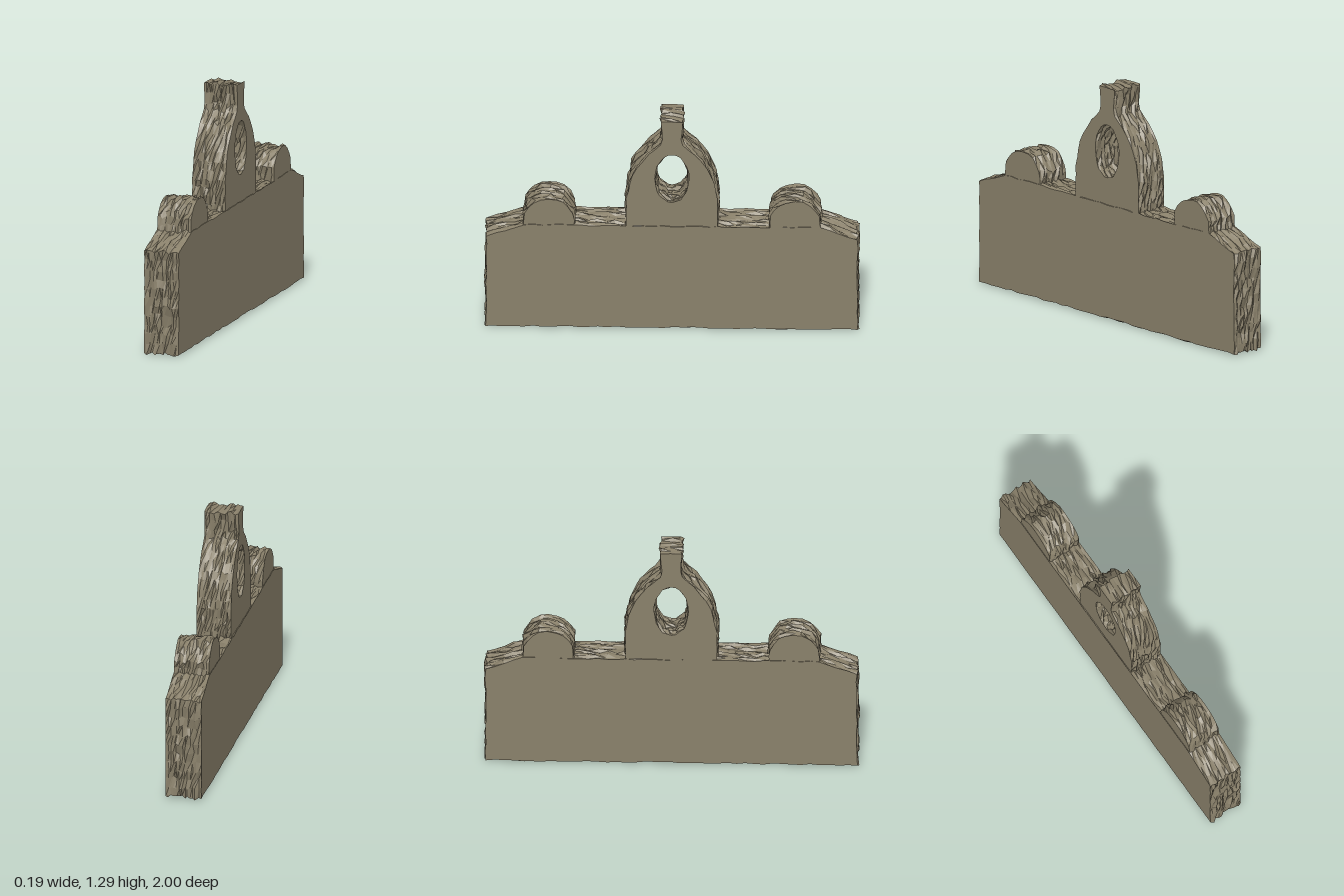
import * as THREE from 'three';

const stone = new THREE.MeshStandardMaterial({ color: 0x8a816b, flatShading: true });
stone.name = 'weathered stone';

// Repeatable noise in -1..1 from a position
function noise(x, y, z, seed) {
  const k = (v) => Math.round(v * 1000);
  const s = Math.sin(k(x) * 12.9898 + k(y) * 78.233 + k(z) * 37.719 + seed * 11.13) * 43758.5453;
  return (s - Math.floor(s)) * 2 - 1;
}

// Splits a closed outline into short segments and roughens it slightly
function roughOutline(points, spacing, amount) {
  const out = [];
  points.forEach(([ax, ay], i) => {
    const [bx, by] = points[(i + 1) % points.length];
    const n = Math.max(1, Math.round(Math.hypot(bx - ax, by - ay) / spacing));
    for (let j = 0; j < n; j++) {
      const x = ax + (bx - ax) * j / n, y = ay + (by - ay) * j / n;
      out.push(new THREE.Vector2(x + noise(x, y, 0, 1) * amount, y + noise(x, y, 0, 2) * amount));
    }
  });
  return out;
}

// Slab with flat faces on +x and -x and chipped edges all round
function chippedSlab(name, outline, x0, x1, hole) {
  const shape = new THREE.Shape(roughOutline(outline, 0.05, 0.004));
  if (hole) shape.holes.push(new THREE.Path(roughOutline(hole, 0.05, 0.003)));
  const depth = x1 - x0;
  const geo = new THREE.ExtrudeGeometry(shape, { depth, steps: 13, bevelEnabled: false });
  const p = geo.attributes.position;
  for (let i = 0; i < p.count; i++) {
    const x = p.getX(i), y = p.getY(i), z = p.getZ(i);
    if (z < 0.001 || z > depth - 0.001) continue;
    p.setXYZ(i,
      x + noise(x, y, z, 3) * 0.011,
      Math.max(0, y + noise(x, y, z, 4) * 0.011),
      z + noise(x, y, z, 5) * 0.005);
  }
  geo.translate(0, 0, x0);
  geo.rotateY(Math.PI / 2);
  geo.computeVertexNormals();
  const mesh = new THREE.Mesh(geo, stone);
  mesh.name = name;
  return mesh;
}

const mirrored = (half) => [...half, ...half.map(([x, y]) => [-x, y]).reverse()];

function arc(cx, cy, rx, ry, a0, a1, n) {
  return Array.from({ length: n }, (_, i) => {
    const a = a0 + (a1 - a0) * i / (n - 1);
    return [cx + rx * Math.cos(a), cy + ry * Math.sin(a)];
  });
}

export function createModel() {
  const model = new THREE.Group();
  model.name = 'stoneWallCrest';

  // Long wall with sloped shoulders
  model.add(chippedSlab('wall', mirrored([[0.988, 0.01], [0.988, 0.565], [0.79, 0.637]]), -0.1, 0.095));

  // Pierced arch with a short stem on top
  const arch = mirrored([
    [0.24, 0.62], [0.245, 0.8], [0.225, 0.9], [0.19, 0.99],
    [0.125, 1.08], [0.06, 1.135], [0.049, 1.17], [0.055, 1.28],
  ]);
  const opening = arc(0, 0.93, 0.092, 0.147, 0, Math.PI * 2 * 23 / 24, 24);
  model.add(chippedSlab('archWithOpening', arch, -0.095, 0.092, opening));

  // Round knobs on both shoulders
  for (const [name, side] of [['frontKnob', -1], ['backKnob', 1]]) {
    const c = 0.655 * side;
    const knob = [[c - 0.135, 0.62], [c + 0.135, 0.62], ...arc(c, 0.665, 0.135, 0.133, 0, Math.PI, 11)];
    model.add(chippedSlab(name, knob, -0.097, 0.093));
  }
  return model;
}
